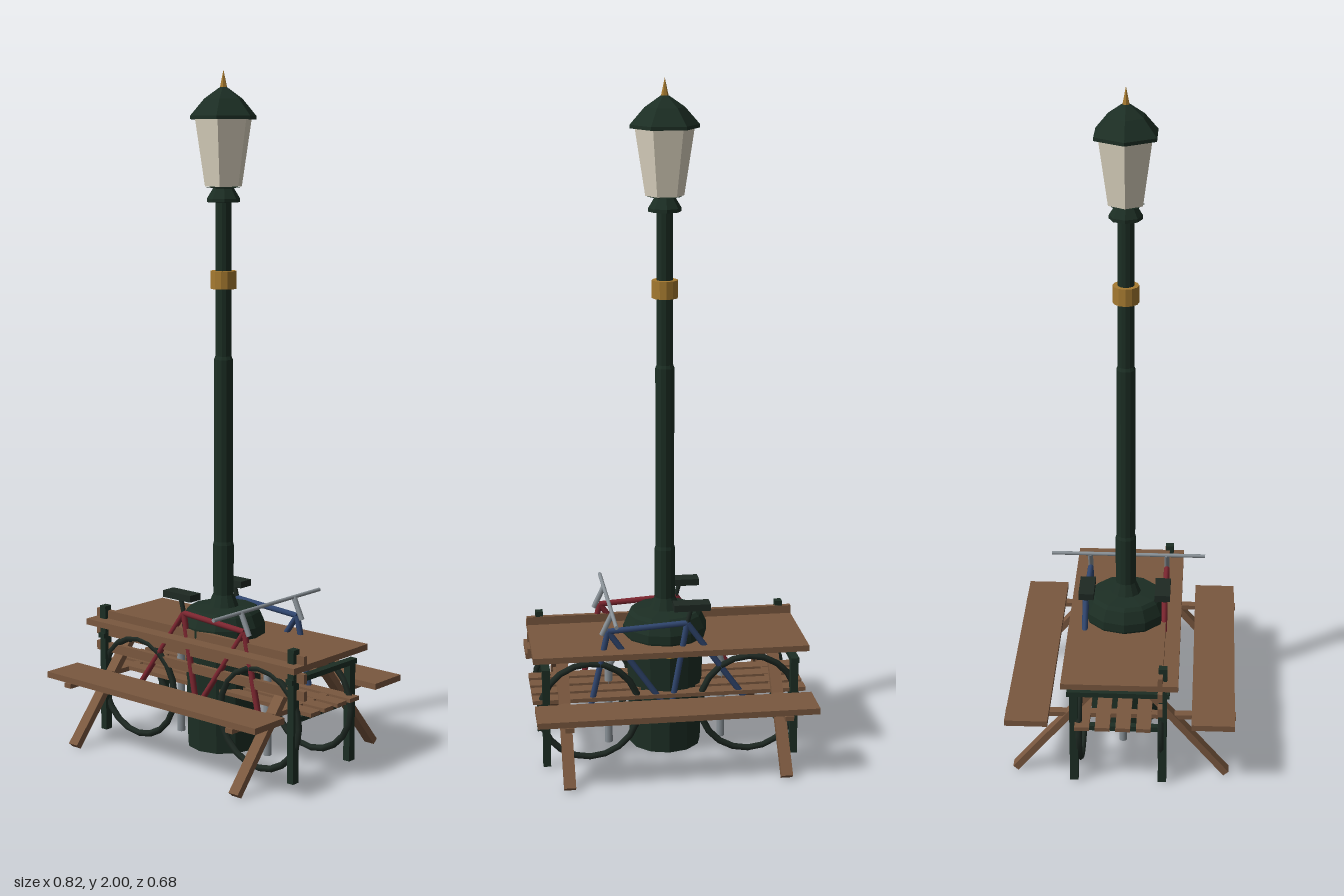
import * as THREE from 'three';

const mat = (name, color) => {
  const m = new THREE.MeshStandardMaterial({ color });
  m.name = name;
  return m;
};

export function createModel() {
  const model = new THREE.Group();
  model.name = 'streetLampWithBenchesAndBikes';

  const wood = mat('wood brown', 0x7a583f);
  const iron = mat('dark green iron', 0x1c2e24);
  const rubber = mat('dark rubber', 0x1e2923);
  const brass = mat('brass', 0xa67a30);
  const glass = mat('frosted glass', 0xded6c2);
  const steel = mat('steel', 0x8a9298);
  const red = mat('red paint', 0x7d2630);
  const blue = mat('blue paint', 0x30466f);
  for (const m of [iron, brass, glass]) m.flatShading = true;

  const add = (parent, name, geo, material, x = 0, y = 0, z = 0) => {
    const mesh = new THREE.Mesh(geo, material);
    mesh.name = name;
    mesh.position.set(x, y, z);
    parent.add(mesh);
    return mesh;
  };
  const box = (parent, name, material, size, pos) =>
    add(parent, name, new THREE.BoxGeometry(...size), material, ...pos);
  const group = (name) => {
    const g = new THREE.Group();
    g.name = name;
    model.add(g);
    return g;
  };
  // Straight round bar between two points
  const bar = (parent, name, material, a, b, r, sides = 8) => {
    const p = new THREE.Vector3(...a), q = new THREE.Vector3(...b);
    const d = q.clone().sub(p);
    const mesh = add(parent, name, new THREE.CylinderGeometry(r, r, d.length(), sides), material);
    mesh.position.copy(p).add(q).multiplyScalar(0.5);
    mesh.quaternion.setFromUnitVectors(new THREE.Vector3(0, 1, 0), d.normalize());
    return mesh;
  };
  const lathe = (pts, sides) =>
    new THREE.LatheGeometry(pts.map(([r, y]) => new THREE.Vector2(r, y)), sides);

  // Lamp: pedestal, stepped post and brass bands
  const lamp = group('streetLamp');
  add(lamp, 'pedestal', lathe([[0, 0.01], [0.108, 0.01], [0.115, 0.32], [0.126, 0.36],
    [0.126, 0.385], [0.11, 0.42], [0.1, 0.43], [0.05, 0.435], [0, 0.44]], 12), iron);
  add(lamp, 'pedestalBand', new THREE.CylinderGeometry(0.121, 0.121, 0.022, 12), brass, 0, 0.326);
  add(lamp, 'post', lathe([[0.048, 0.43], [0.031, 0.47], [0.031, 0.62], [0.028, 0.63], [0.028, 1.17],
    [0.024, 1.18], [0.024, 1.63]], 12), iron);
  add(lamp, 'postBand', new THREE.CylinderGeometry(0.038, 0.038, 0.052, 12), brass, 0, 1.402);
  add(lamp, 'lanternSeat', lathe([[0, 1.622], [0.048, 1.625], [0.048, 1.635], [0.03, 1.665],
    [0.052, 1.668], [0, 1.672]], 8), iron);

  // Hexagonal lantern with points on the x axis
  const lantern = new THREE.Group();
  lantern.name = 'lantern';
  lantern.rotation.y = Math.PI / 6;
  lamp.add(lantern);
  add(lantern, 'lanternGlass', new THREE.CylinderGeometry(0.086, 0.056, 0.194, 6), glass, 0, 1.767);
  add(lantern, 'lanternRoof', lathe([[0, 1.86], [0.1, 1.86], [0.1, 1.87], [0.058, 1.918],
    [0.012, 1.95], [0, 1.95]], 6), iron);
  add(lantern, 'finial', new THREE.ConeGeometry(0.013, 0.06, 6), brass, 0, 1.97);

  // Picnic table: top, two seats, crossbeams and splayed legs
  const table = group('picnicTable');
  box(table, 'tableTop', wood, [0.816, 0.018, 0.34], [0, 0.346, 0]);
  for (const s of [-1, 1]) {
    box(table, 'tableSeat', wood, [0.816, 0.018, 0.126], [0, 0.216, s * 0.273]);
    box(table, 'crossBeam', wood, [0.026, 0.014, 0.68], [s * 0.317, 0.2, 0]);
    for (const t of [-1, 1]) {
      const leg = box(table, 'tableLeg', wood, [0.034, 0.425, 0.02], [s * 0.317, 0.17, t * 0.177]);
      leg.rotation.x = -t * 0.7;
    }
  }

  // Park bench: tall back posts, front legs, arms and slats
  const bench = group('parkBench');
  for (const s of [-1, 1]) {
    box(bench, 'backPost', iron, [0.022, 0.39, 0.025], [s * 0.37, 0.2, 0.125]);
    box(bench, 'frontLeg', iron, [0.022, 0.3, 0.025], [s * 0.37, 0.155, -0.135]);
    box(bench, 'armRest', iron, [0.024, 0.015, 0.3], [s * 0.37, 0.303, -0.005]);
    box(bench, 'seatRail', iron, [0.02, 0.015, 0.25], [s * 0.37, 0.188, -0.005]);
  }
  for (const y of [0.264, 0.314, 0.366])
    box(bench, 'backSlat', wood, [0.816, 0.028, 0.014], [0, y, 0.118]);
  for (let i = 0; i < 4; i++)
    box(bench, 'seatSlat', wood, [0.816, 0.012, 0.043], [0, 0.202, -0.11 + i * 0.06]);

  // Steel bicycle hoop with rounded corners
  const hoop = new THREE.CurvePath();
  const v = (x, y) => new THREE.Vector3(x, y, 0);
  hoop.add(new THREE.LineCurve3(v(-0.172, 0.01), v(-0.172, 0.24)));
  hoop.add(new THREE.QuadraticBezierCurve3(v(-0.172, 0.24), v(-0.172, 0.29), v(-0.12, 0.29)));
  hoop.add(new THREE.LineCurve3(v(-0.12, 0.29), v(0.12, 0.29)));
  hoop.add(new THREE.QuadraticBezierCurve3(v(0.12, 0.29), v(0.172, 0.29), v(0.172, 0.24)));
  hoop.add(new THREE.LineCurve3(v(0.172, 0.24), v(0.172, 0.01)));
  add(model, 'bikeHoop', new THREE.TubeGeometry(hoop, 64, 0.012, 8), steel);

  // Two bicycles, one along each side of the pedestal
  const rear = [-0.236, 0.165, 0], front = [0.24, 0.165, 0], crank = [0, 0.146, 0];
  const seatTop = [-0.05, 0.425, 0], head = [0.185, 0.41, 0];
  for (const [name, paint, z] of [['redBicycle', red, 0.12], ['blueBicycle', blue, -0.12]]) {
    const bike = group(name);
    bike.position.z = z;
    for (const [x, y] of [rear, front])
      add(bike, 'tyre', new THREE.TorusGeometry(0.147, 0.01, 6, 20), rubber, x, y);
    const tubes = [['chainStay', rear, crank], ['seatStay', rear, seatTop], ['seatTube', crank, seatTop],
      ['topTube', seatTop, head], ['downTube', crank, head], ['fork', head, front]];
    for (const [part, a, b] of tubes) bar(bike, part, paint, a, b, 0.009);
    bar(bike, 'seatPost', rubber, seatTop, [-0.062, 0.47, 0], 0.007);
    box(bike, 'saddle', rubber, [0.108, 0.02, 0.046], [-0.064, 0.476, -Math.sign(z) * 0.006]);
    bar(bike, 'stem', steel, [0.203, 0.4, 0], [0.172, 0.465, 0], 0.008);
    bar(bike, 'handlebar', steel, [0.172, 0.465, -0.12], [0.172, 0.465, 0.12], 0.006);
  }
  return model;
}
